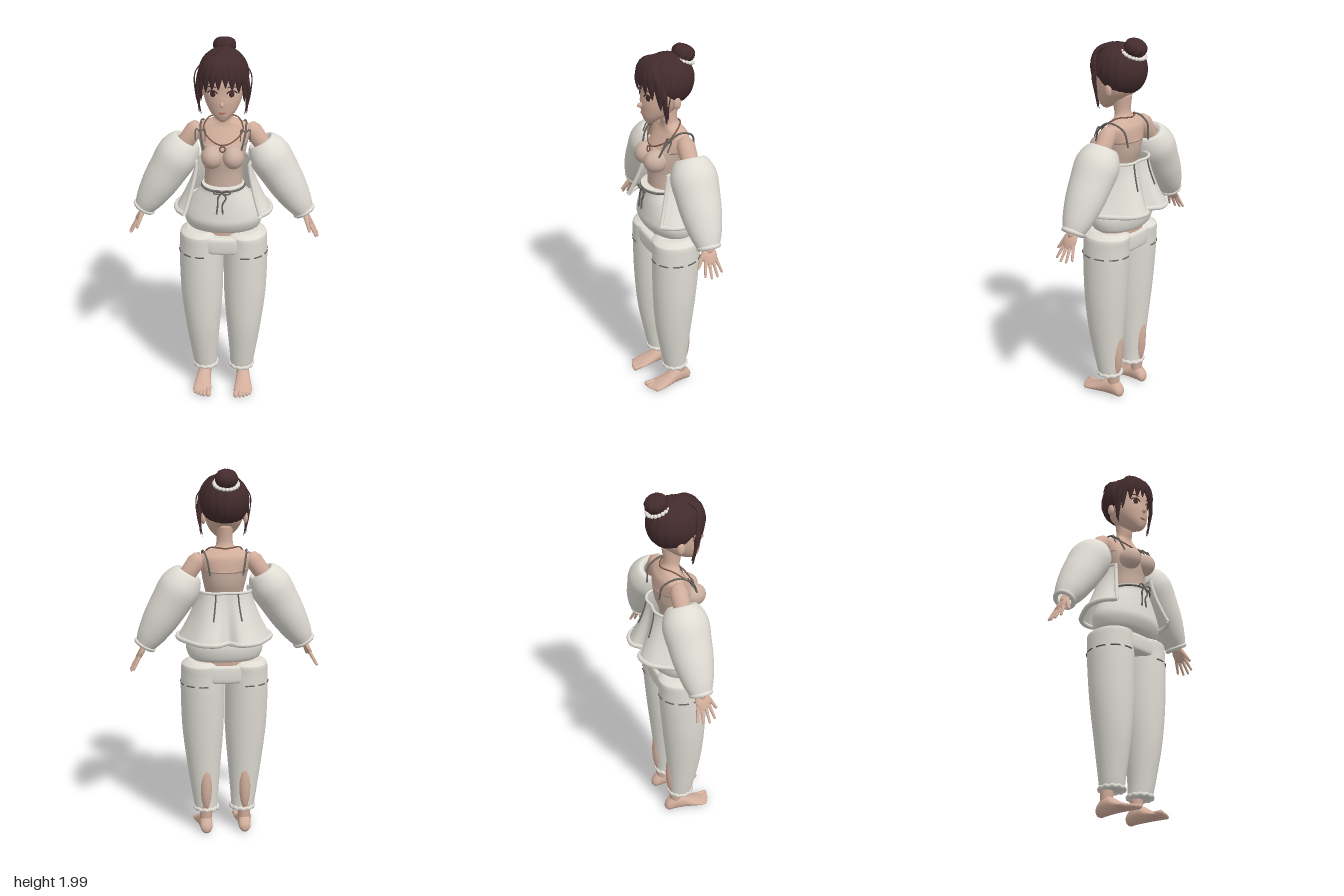
import * as THREE from 'three';

const V = (x, y, z) => new THREE.Vector3(x, y, z);
const mat = (name, color, side = THREE.FrontSide) => {
  const m = new THREE.MeshStandardMaterial({ color, side });
  m.name = name;
  return m;
};

// surface through rows of points; each ring is closed unless open is true
function skinRings(rings, open = false, caps = !open) {
  const n = rings[0].length, pos = [], idx = [];
  rings.forEach(r => r.forEach(p => pos.push(p.x, p.y, p.z)));
  for (let i = 0; i < rings.length - 1; i++)
    for (let j = 0; j < (open ? n - 1 : n); j++) {
      const a = i * n + j, b = i * n + (j + 1) % n;
      idx.push(a, a + n, b, b, a + n, b + n);
    }
  if (caps) [0, rings.length - 1].forEach(i => {
    const c = pos.length / 3, m = rings[i].reduce((s, p) => s.add(p), V(0, 0, 0)).divideScalar(n);
    pos.push(m.x, m.y, m.z);
    for (let j = 0; j < n; j++) {
      const a = i * n + j, b = i * n + (j + 1) % n;
      if (i) idx.push(c, b, a); else idx.push(c, a, b);
    }
  });
  const g = new THREE.BufferGeometry();
  g.setAttribute('position', new THREE.Float32BufferAttribute(pos, 3));
  g.setIndex(idx);
  g.computeVertexNormals();
  return g;
}

const cubic = (a, b, c, d, t) =>
  0.5 * (2 * b + (c - a) * t + (2 * a - 5 * b + 4 * c - d) * t * t + (3 * b - a - 3 * c + d) * t * t * t);

// rows: [height, centre x, half width, front z, back z], smoothed upwards
function loft(rows, { n = 36, steps = 5, power = 1 } = {}) {
  const at = i => rows[Math.max(0, Math.min(rows.length - 1, i))], rings = [];
  for (let k = 0; k <= (rows.length - 1) * steps; k++) {
    const i = Math.floor(k / steps), t = k / steps - i;
    const [y, cx, rx, zf, zb] = rows[0].map((_, c) => cubic(at(i - 1)[c], at(i)[c], at(i + 1)[c], at(i + 2)[c], t));
    rings.push(Array.from({ length: n }, (_, j) => {
      const a = j / n * Math.PI * 2, c = Math.cos(a), s = Math.sin(a);
      return V(cx + rx * Math.sign(c) * Math.abs(c) ** power, y,
        (zf + zb) / 2 + (zf - zb) / 2 * Math.sign(s) * Math.abs(s) ** power);
    }));
  }
  return skinRings(rings);
}

// lathe profile [radius, distance] laid from one point towards another
function along(from, to, pts, scaleZ = 1, seg = 28) {
  const g = new THREE.LatheGeometry(pts.map(p => new THREE.Vector2(...p)), seg);
  g.scale(1, 1, scaleZ);
  g.applyQuaternion(new THREE.Quaternion().setFromUnitVectors(V(0, 1, 0), to.clone().sub(from).normalize()));
  return g.translate(from.x, from.y, from.z);
}
const limb = (a, b, r, q) => {
  const L = a.distanceTo(b);
  return along(a, b, [[0, -r], [r * .7, -r * .7], [r, 0], [(r + q) / 2, L / 2], [q, L], [q * .7, L + q * .7], [0, L + q]], 1, 16);
};
const blob = (x, y, z, rx, ry, rz) => new THREE.SphereGeometry(1, 24, 16).scale(rx, ry, rz).translate(x, y, z);
const cord = (pts, r, closed = false) =>
  new THREE.TubeGeometry(new THREE.CatmullRomCurve3(pts, closed), pts.length * 8, r, 8, closed);

const HEAD = V(0, 1.825, .02);
// tapering hair lock, flattened against the head
function lock(pts, r) {
  const curve = new THREE.CatmullRomCurve3(pts), N = 18, S = 8;
  const g = new THREE.TubeGeometry(curve, N, r, S), p = g.attributes.position;
  for (let i = 0; i <= N; i++) {
    const c = curve.getPointAt(i / N), out = c.clone().sub(HEAD).normalize();
    const k = Math.max(.04, Math.sin(Math.PI * Math.min(1, .25 + .75 * i / N)) ** .7);
    for (let j = 0; j <= S; j++) {
      const q = i * (S + 1) + j, o = V(0, 0, 0).fromBufferAttribute(p, q).sub(c).multiplyScalar(k);
      o.addScaledVector(out, -.55 * o.dot(out)).add(c);
      p.setXYZ(q, o.x, o.y, o.z);
    }
  }
  g.computeVertexNormals();
  return g;
}

export function createModel() {
  const root = new THREE.Group();
  const D = THREE.DoubleSide;
  const skin = mat('skin', 0xd2ae9c), top = mat('camisole', 0xcbb0a1), cloth = mat('cloth', 0xdfdcd4, D);
  const hair = mat('hair', 0x432b2d, D), seam = mat('seam', 0x66635e, D), chain = mat('necklace', 0x7d5a48);
  const white = mat('eyeWhite', 0xe6dcd6), iris = mat('iris', 0x4a2a24), lip = mat('lips', 0xb07868);
  const add = (name, geo, m, parent = root) => {
    const o = new THREE.Mesh(geo, m);
    o.name = name;
    parent.add(o);
    return o;
  };

  // body and head
  add('hips', loft([[.93, 0, .15, .11, -.08], [1, 0, .165, .11, -.085], [1.1, 0, .145, .115, -.07], [1.25, 0, .1, .115, -.045]]), skin);
  add('camisoleTop', loft([[1.22, 0, .1, .118, -.045], [1.32, 0, .097, .12, -.055], [1.4, 0, .112, .13, -.08], [1.47, 0, .125, .105, -.088]]), top);
  add('shouldersAndNeck', loft([[1.46, 0, .124, .108, -.088], [1.53, 0, .138, .063, -.08], [1.56, 0, .112, .047, -.062],
    [1.585, 0, .055, .045, -.045], [1.62, 0, .042, .055, -.035], [1.7, 0, .045, .07, -.045]]), skin);
  add('head', loft([[1.61, 0, .012, .13, .1], [1.625, 0, .034, .142, .07], [1.65, 0, .06, .151, .02], [1.68, 0, .08, .155, -.02],
    [1.72, 0, .096, .158, -.06], [1.77, 0, .105, .155, -.085], [1.82, 0, .105, .155, -.1], [1.87, 0, .09, .135, -.09], [1.91, 0, .05, .09, -.05]]), skin);
  add('nose', blob(0, 1.713, .162, .01, .014, .02), skin);
  add('lips', blob(0, 1.667, .153, .018, .007, .007), lip);

  // hair cap with ridges running to the crown
  const capRings = [];
  for (let i = 0; i <= 24; i++) {
    const v = 1 - i / 24.2;
    capRings.push(Array.from({ length: 108 }, (_, j) => {
      const a = j / 108 * Math.PI * 2, s = Math.sin(a), th = v * Math.PI * (.72 - (s > 0 ? .3 : .1) * s);
      const k = (1 + .025 * Math.abs(Math.sin(a * 9)) * Math.sin(th)) * (i ? 1 : .93);
      return V(.126 * k * Math.sin(th) * Math.cos(a), HEAD.y + .136 * k * Math.cos(th), HEAD.z + .14 * k * Math.sin(th) * s);
    }));
  }
  add('hairCap', skinRings(capRings, false, false), hair);
  // fringe: tip x, tip y, width
  [[-.12, 1.64, .02], [-.108, 1.71, .026], [-.082, 1.765, .03], [-.05, 1.785, .03], [-.018, 1.79, .028], [.018, 1.8, .026],
    [.05, 1.785, .03], [.082, 1.765, .03], [.108, 1.71, .026], [.12, 1.64, .02]].forEach(([x, y, r]) => {
    const z = f => HEAD.z + .15 * Math.sqrt(Math.max(0, 1 - (x * f / .137) ** 2));
    add('fringeLock', lock([V(.012, 1.955, .04), V(x * .6, 1.915, z(.6) - .03), V(x * .95, 1.85, z(.95)), V(x, y, z(1) - (1.8 - y) * .1)], r), hair);
  });

  // bun with scalloped band
  const bun = new THREE.Group();
  bun.name = 'bun';
  bun.position.set(0, 1.915, -.06);
  bun.rotation.x = -.4;
  root.add(bun);
  const bunGeo = new THREE.SphereGeometry(1, 80, 24), bp = bunGeo.attributes.position;
  for (let i = 0; i < bp.count; i++) {
    const x = bp.getX(i), y = bp.getY(i), z = bp.getZ(i), h = Math.hypot(x, z);
    const k = 1 + .09 * h * Math.abs(Math.sin(Math.atan2(z, x) * 5 + y * 2));
    bp.setXYZ(i, .055 * x * k, .035 + .048 * y * (y > 0 ? .75 + .3 * h : 1), .055 * z * k);
  }
  bunGeo.computeVertexNormals();
  add('bunKnot', bunGeo, hair, bun);
  for (let i = 0; i < 20; i++) {
    const a = i / 20 * Math.PI * 2;
    add('bandScallop', blob(.06 * Math.cos(a), .004, .06 * Math.sin(a), .0115, .009, .0115), cloth, bun);
  }

  // shorts with drawstring
  add('shorts', loft([[.985, 0, .16, .115, -.085], [1, 0, .188, .14, -.11], [1.05, 0, .205, .166, -.125], [1.1, 0, .195, .164, -.122],
    [1.17, 0, .155, .156, -.1], [1.225, 0, .112, .15, -.062], [1.25, 0, .11, .157, -.055]]), cloth);
  const oval = (cx, y, rx, zf, zb, n = 20) => Array.from({ length: n }, (_, i) => {
    const a = i / n * Math.PI * 2;
    return V(cx + rx * Math.cos(a), y, (zf + zb) / 2 + (zf - zb) / 2 * Math.sin(a));
  });
  add('waistCord', cord(oval(0, 1.238, .111, .156, -.058), .005, true), seam);

  // flared open jacket body
  const mirrored = h => new THREE.CatmullRomCurve3([...h.slice(1).reverse().map(p => V(-p[0], 0, p[1])), ...h.map(p => V(p[0], 0, p[1]))]);
  const neckLine = mirrored([[0, -.1], [.06, -.105], [.115, -.075], [.142, 0], [.135, .08]]);
  const hemLine = mirrored([[0, -.15], [.06, -.193], [.14, -.175], [.2, -.1], [.245, 0], [.238, .09], [.195, .15]]);
  const jacketPoint = (u, v) => neckLine.getPoint(u).lerp(hemLine.getPoint(u), v ** 1.4).setY(1.36 - .255 * v);
  const span = (n, f) => Array.from({ length: n + 1 }, (_, i) => f(i / n));
  add('jacketBody', skinRings(span(10, v => span(60, u => jacketPoint(u, v))), true), cloth);
  add('jacketTopRim', cord(span(24, u => jacketPoint(u, 0)), .008), cloth);
  add('jacketHem', cord(span(32, u => jacketPoint(u, 1)), .013), cloth);

  // trouser seat joining the legs
  add('trouserSeat', loft([[.865, 0, .1, .13, -.08], [.88, 0, .18, .148, -.1], [.95, 0, .19, .15, -.102], [.965, 0, .17, .13, -.09]], { power: .75 }), cloth);

  for (const s of [1, -1]) {
    // face details
    add('ear', blob(s * .11, 1.735, .015, .012, .032, .02), skin);
    const eye = new THREE.Group();
    eye.name = 'eye';
    eye.position.set(s * .046, 1.762, .142);
    eye.rotation.y = s * .33;
    root.add(eye);
    add('eyeWhite', blob(0, 0, 0, .024, .017, .004), white, eye);
    add('iris', blob(0, .001, .003, .015, .016, .003), iris, eye);
    add('lash', cord([V(-.026, .005, .004), V(-.012, .017, .006), V(.01, .018, .006), V(.027, .006, .003)], .0035), hair, eye);
    add('brow', cord([V(-.022, .036, .004), V(0, .041, .005), V(.024, .034, 0)], .0025), hair, eye);
    // loose side strands
    add('sideStrand', lock([V(s * .1, 1.88, .1), V(s * .128, 1.8, .1), V(s * .126, 1.72, .085), V(s * .108, 1.63, .075)], .012), hair);
    add('looseStrand', cord([V(s * .1, 1.9, .04), V(s * .14, 1.84, .06), V(s * .136, 1.74, .075), V(s * .118, 1.66, .07)], .003), hair);

    // bust, straps and ties
    add('bust', blob(s * .054, 1.412, .107, .056, .06, .066), top);
    add('strap', cord([V(s * .095, 1.45, .11), V(s * .112, 1.52, .078), V(s * .115, 1.568, .005), V(s * .1, 1.535, -.075), V(s * .085, 1.45, -.092)], .005), seam);
    for (const k of [-.022, .02])
      add('shoulderBow', cord([V(s * .115, 1.53, .065), V(s * .115 + k, 1.545, .06), V(s * .115 + k * 1.2, 1.49, .085)], .0035), seam);
    add('backTie', cord(span(4, t => jacketPoint(.5 + s * .12, t * .55).add(V(0, 0, -.004))), .004), seam);
    add('drawstring', cord([V(0, 1.238, .162), V(s * .02, 1.21, .163), V(s * .012 - .01, 1.17, .165), V(s * .016 - .012, 1.12, .169)], .0045), seam);
    add('drawstringLoop', cord([V(0, 1.238, .162), V(s * .03, 1.25, .166), V(s * .042, 1.235, .164), V(s * .02, 1.228, .162)], .004, true), seam);
    add('jacketFrontRim', cord(span(8, v => jacketPoint(s > 0 ? 1 : 0, v)), .01), cloth);

    // arm, puffed sleeve and cuff
    const a0 = V(s * .19, 1.46, -.015), a1 = V(s * .425, 1.07, -.002);
    add('upperArm', limb(V(s * .15, 1.515, -.012), V(s * .23, 1.4, -.012), .047, .042), skin);
    add('forearm', limb(V(s * .23, 1.4, -.012), V(s * .43, 1.06, 0), .042, .022), skin);
    const sleeve = new THREE.SplineCurve([[.045, .012], [.068, 0], [.095, .04], [.11, .1], [.104, .19], [.094, .29], [.074, .39], [.053, .452]]
      .map(p => new THREE.Vector2(...p))).getPoints(40).map(p => [p.x, p.y]);
    add('sleeve', along(a0, a1, sleeve, 1.1, 40), cloth);
    add('cuff', along(a0, a1, span(12, t => [.05 + .013 * Math.cos(t * 6.2832), .452 + .013 * Math.sin(t * 6.2832)])), cloth);

    // hand
    add('palm', along(V(s * .42, 1.075, .002), V(s * .462, 1.0, .002), [[0, -.01], [.012, 0], [.015, .04], [.014, .08], [0, .095]], 2.7), skin);
    [[-.032, .95, .486], [-.011, .938, .498], [.012, .937, .5], [.034, .948, .49]].forEach(([z, y, x]) =>
      add('finger', limb(V(s * .455, 1.012, z * .9), V(s * x, y, z * 1.45), .0095, .006), skin));
    add('thumb', limb(V(s * .432, 1.05, .03), V(s * .455, .985, .07), .012, .007), skin);

    // trouser leg, scalloped hem and dashed stitching
    add('trouserLeg', loft([[.125, s * .1, .062, .085, -.04], [.2, s * .105, .07, .1, -.045], [.4, s * .112, .093, .135, -.063],
      [.6, s * .116, .112, .15, -.083], [.8, s * .118, .117, .155, -.1], [.9, s * .118, .115, .155, -.105], [.952, s * .117, .113, .155, -.109],
      [.966, s * .114, .106, .148, -.102], [.982, s * .108, .085, .118, -.078]]), cloth);
    add('trouserHem', cord(oval(s * .1, .128, .062, .086, -.041, 24).map((p, i) => p.setY(.128 + (i % 2) * .005)), .011, true), cloth);
    for (let i = 0; i < 6; i++) {
      const b = -1.75 + i * .62;
      add('stitchDash', cord(span(5, t => {
        const a = b + t * .42;
        return V(s * (.118 + .117 * Math.cos(a)), .855, .026 + .131 * Math.sin(a));
      }), .004), seam);
    }
    // lower leg, calf and foot
    add('ankle', limb(V(s * .106, .06, -.008), V(s * .106, .3, -.01), .032, .04), skin);
    add('calf', blob(s * .106, .28, -.028, .034, .15, .037), skin);
    add('foot', loft([[-.07, s * .106, .012, -.015, -.04], [-.055, s * .106, .03, 0, -.065], [-.02, s * .107, .035, 0, -.095], [.03, s * .11, .038, 0, -.088],
      [.08, s * .113, .045, 0, -.058], [.13, s * .114, .051, 0, -.036], [.165, s * .113, .046, -.004, -.022]]).rotateX(Math.PI / 2), skin);
    [[.076, .186, .014], [.1, .184, .011], [.119, .177, .0105], [.136, .168, .01], [.151, .156, .0095]].forEach(([x, z, r]) =>
      add('toe', limb(V(s * (x * .9 + .012), .018, z - .045), V(s * x, r + .002, z), r, r), skin));
  }

  // necklace
  add('necklaceCord', cord([V(0, 1.478, .113), V(.055, 1.496, .1), V(.1, 1.54, .052), V(.075, 1.585, -.01), V(0, 1.585, -.052),
    V(-.075, 1.585, -.01), V(-.1, 1.54, .052), V(-.055, 1.496, .1)], .004, true), chain);
  add('pendantRing', new THREE.TorusGeometry(.014, .004, 8, 24).rotateX(-.35).translate(0, 1.461, .122), chain);
  return root;
}
